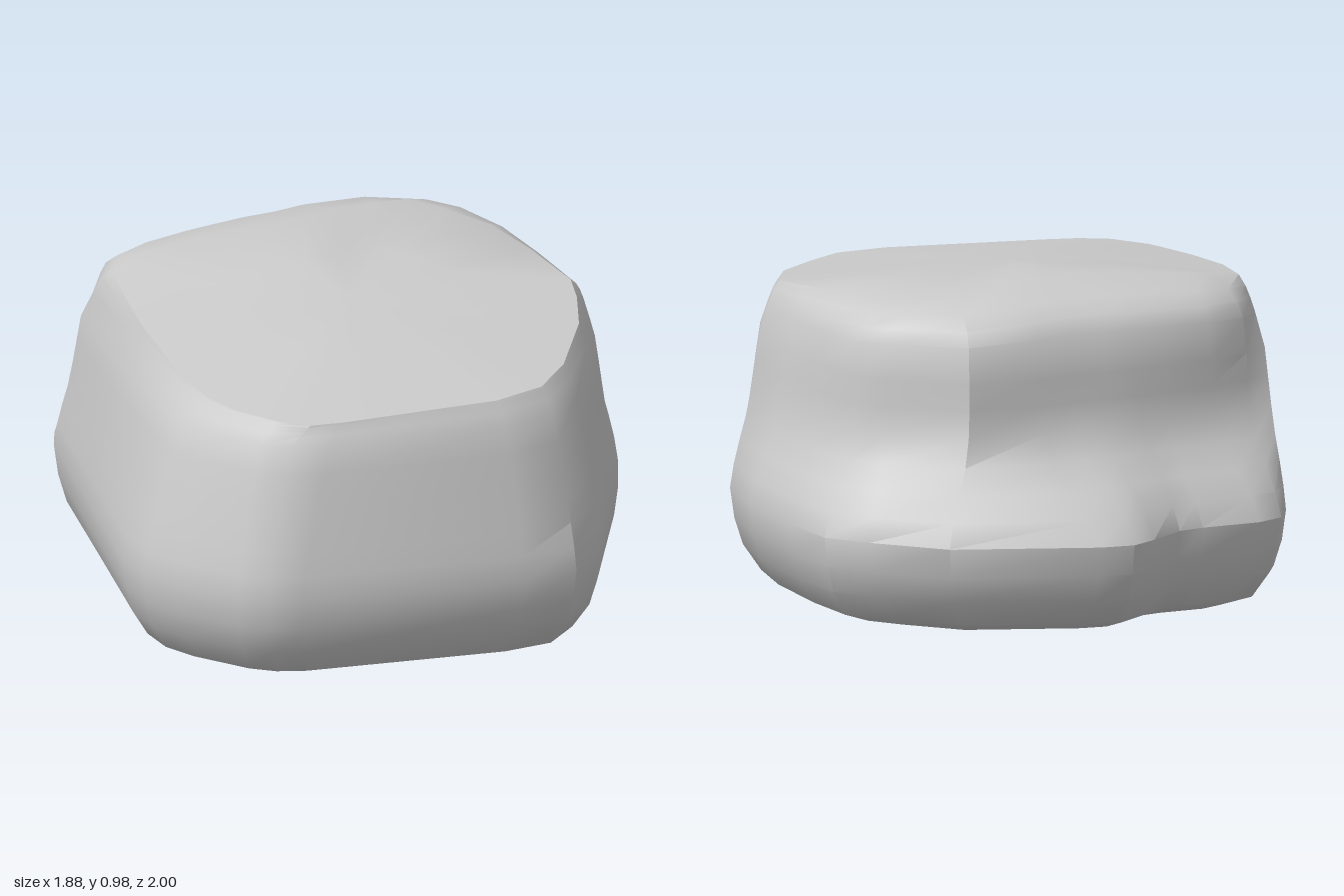
import * as THREE from 'three';
import { toCreasedNormals } from 'three/addons/utils/BufferGeometryUtils.js';

// Plan outlines, counter-clockwise from the front corner.
// Belly: widest outline [x, z]
const belly = [
  [0.05, 1], [0.21, 0.92], [0.42, 0.71], [0.63, 0.5], [0.78, 0.32], [0.86, 0.1], [0.92, -0.2],
  [0.94, -0.41], [0.87, -0.54], [0.73, -0.75], [0.35, -0.97], [0.25, -1], [0.16, -0.97],
  [0.03, -0.91], [-0.05, -0.91], [-0.23, -0.94], [-0.32, -0.92], [-0.39, -0.84], [-0.65, -0.37],
  [-0.9, 0.08], [-0.94, 0.22], [-0.93, 0.35], [-0.87, 0.56], [-0.82, 0.64], [-0.74, 0.7], [-0.12, 0.97],
];
// Wall: upper outline under the shoulder [x, z]
const wall = [
  [0.06, 0.88], [0.22, 0.8], [0.44, 0.61], [0.6, 0.43], [0.69, 0.3], [0.74, 0.08], [0.78, -0.15],
  [0.785, -0.34], [0.74, -0.43], [0.58, -0.63], [0.36, -0.68], [0.25, -0.69], [0.15, -0.71],
  [0.04, -0.72], [-0.05, -0.725], [-0.2, -0.73], [-0.34, -0.71], [-0.43, -0.67], [-0.62, -0.27],
  [-0.79, 0.13], [-0.82, 0.25], [-0.82, 0.36], [-0.77, 0.54], [-0.72, 0.62], [-0.63, 0.69], [-0.11, 0.87],
];
// Plateau: edge of the tilted top [x, y, z]
const plateau = [
  [0.06, 0.81, 0.83], [0.22, 0.82, 0.74], [0.43, 0.85, 0.56], [0.54, 0.87, 0.42], [0.6, 0.885, 0.32],
  [0.64, 0.91, 0.08], [0.65, 0.93, -0.1], [0.62, 0.94, -0.28], [0.57, 0.95, -0.39], [0.48, 0.955, -0.41],
  [0.3, 0.97, -0.42], [0.18, 0.975, -0.4], [0.08, 0.975, -0.42], [-0.02, 0.97, -0.45], [-0.1, 0.965, -0.48],
  [-0.22, 0.955, -0.51], [-0.33, 0.945, -0.52], [-0.46, 0.92, -0.49], [-0.6, 0.88, -0.2], [-0.73, 0.83, 0.15],
  [-0.76, 0.815, 0.3], [-0.76, 0.81, 0.42], [-0.72, 0.805, 0.56], [-0.66, 0.8, 0.64], [-0.57, 0.8, 0.68],
  [-0.11, 0.805, 0.83],
];
// How strongly each column is stepped and rounded: 0 plain, 1 full ledge at the back
const ledge = [0, 0, 0.1, 0.2, 0.35, 0.55, 0.8, 1, 1, 1, 1, 1, 1, 1, 1, 1, 0.9, 0.3, 0, 0, 0, 0, 0, 0, 0, 0];

const lerp = THREE.MathUtils.lerp;
const WALL_Y = 0.74;

// One vertical profile, from base centre to top centre
function column(i) {
  const [bx, bz] = belly[i], [wx, wz] = wall[i], [px, py, pz] = plateau[i], L = ledge[i];
  const pts = [[0, 0, 0]];
  // Underside and lower bulge: [scale, y]
  for (const [s, y] of [[0.77, 0], [0.89, 0.04], [0.955, 0.12], [0.985, 0.2], [1, 0.29]])
    pts.push([bx * s, y, bz * s]);
  // Side: [y, plain blend, ledge blend]
  for (const [y, a, b] of [[0.36, 0.1, 0.18], [0.43, 0.24, 0.47], [0.5, 0.4, 0.79], [0.58, 0.58, 0.96],
    [0.66, 0.78, 1], [WALL_Y, 1, 1]]) {
    const t = lerp(a, b, L);
    pts.push([lerp(bx, wx, t), y, lerp(bz, wz, t)]);
  }
  // Shoulder: [height blend, rounded inward blend]
  for (const [v, r] of [[0.5, 0.05], [0.7, 0.17], [0.86, 0.42], [1, 1]]) {
    const h = lerp(v, r, L);
    pts.push([lerp(wx, px, h), lerp(WALL_Y, py, v), lerp(wz, pz, h)]);
  }
  // Tilted top
  const c = [-0.05, 0.91, 0.1];
  pts.push([lerp(px, c[0], 0.5), lerp(py, c[1], 0.5) + 0.007, lerp(pz, c[2], 0.5)], c);
  return pts;
}

function rockGeometry() {
  const cols = belly.map((_, i) => column(i));
  const n = cols.length, m = cols[0].length, pos = [];
  for (let i = 0; i < n; i++) {
    const p = cols[i], q = cols[(i + 1) % n];
    for (let k = 0; k < m - 1; k++) {
      if (k > 0) pos.push(...p[k], ...q[k], ...q[k + 1]);
      if (k < m - 2) pos.push(...p[k], ...q[k + 1], ...p[k + 1]);
    }
  }
  const geo = new THREE.BufferGeometry();
  geo.setAttribute('position', new THREE.Float32BufferAttribute(pos, 3));
  return toCreasedNormals(geo, 0.6);
}

export function createModel() {
  const group = new THREE.Group();
  group.name = 'boulder';
  const rock = new THREE.Mesh(rockGeometry(), new THREE.MeshStandardMaterial({ color: 0xcccccc }));
  rock.name = 'rock';
  group.add(rock);
  return group;
}
